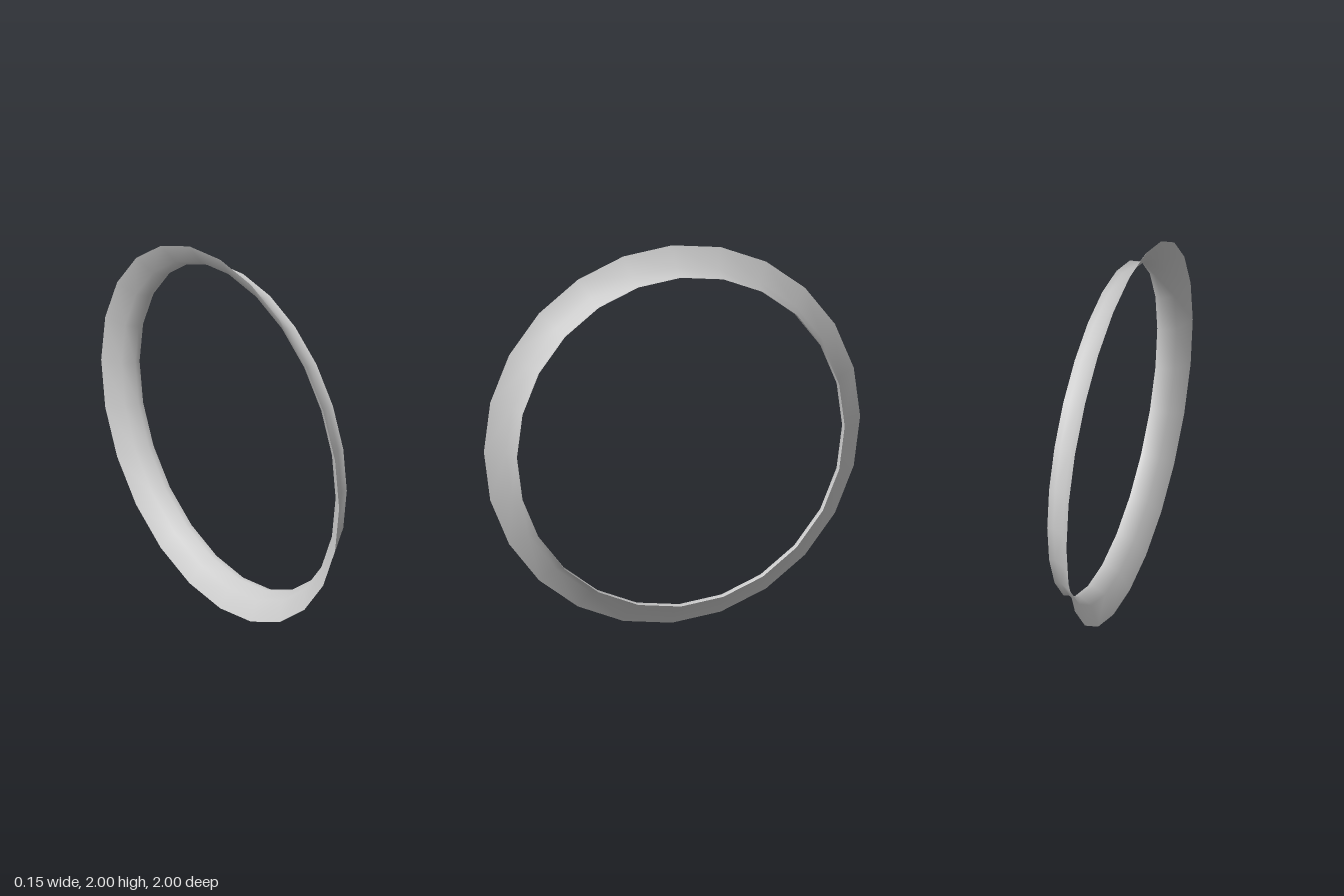
import * as THREE from 'three';

export function createModel() {
  const group = new THREE.Group();
  const material = new THREE.MeshStandardMaterial({ color: 0xcccccc, side: THREE.DoubleSide });

  // Thin flared ring: wide rim, narrow neck, slightly turned-out lip
  const profile = [
    [1.0, -0.073],
    [0.9, -0.02],
    [0.867, 0.042],
    [0.871, 0.073],
  ].map(([radius, along]) => new THREE.Vector2(radius, along));

  const ring = new THREE.Mesh(new THREE.LatheGeometry(profile, 24), material);
  ring.name = 'flaredRing';
  ring.rotation.z = -Math.PI / 2; // lay the ring's axis along x, lip towards +x
  ring.position.y = 1;
  group.add(ring);

  return group;
}
